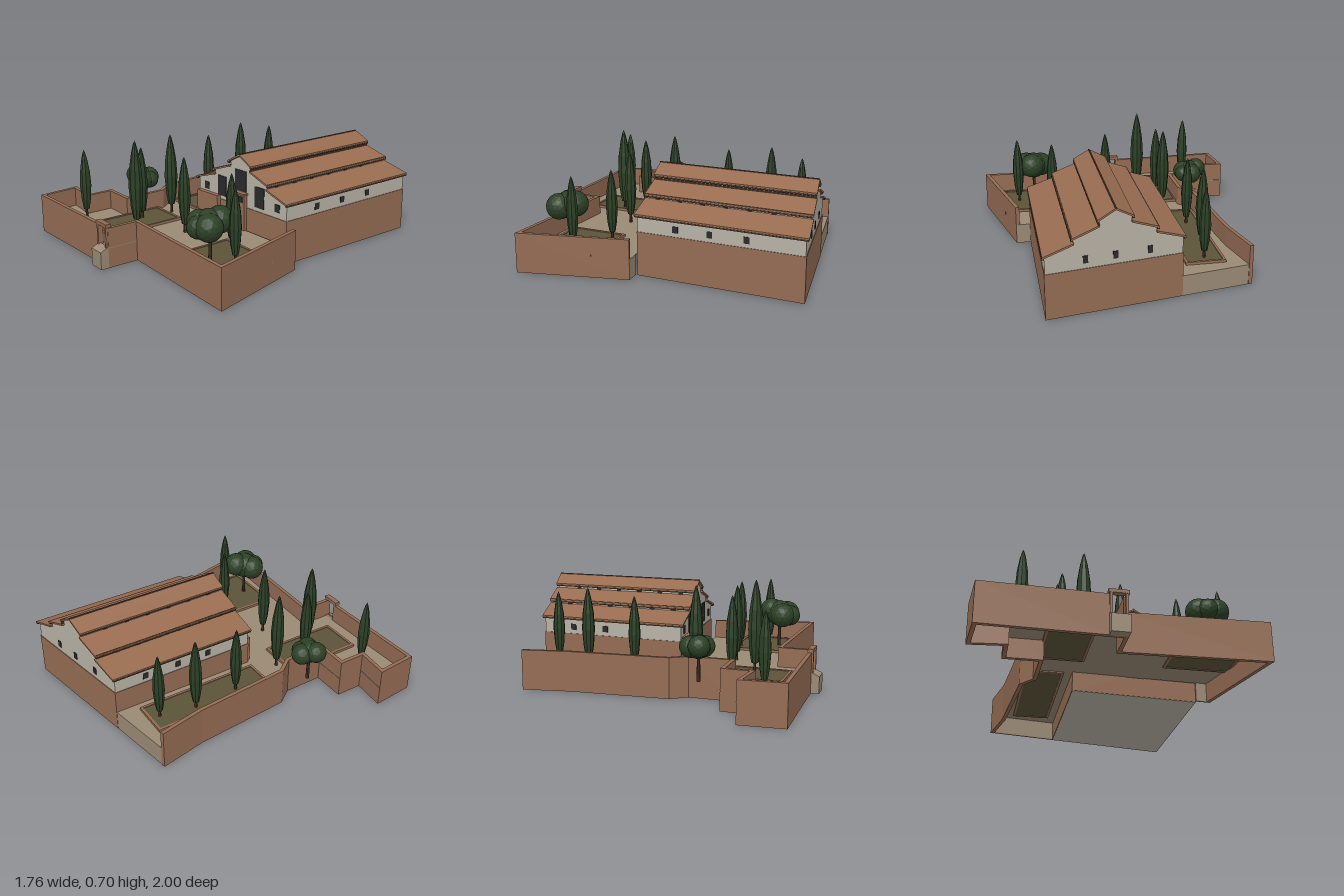
import * as THREE from 'three';
import { mergeGeometries } from 'three/addons/utils/BufferGeometryUtils.js';

const mat = (name, color, side = THREE.FrontSide, flatShading = true) => {
  const m = new THREE.MeshStandardMaterial({ color, side, flatShading });
  m.name = name;
  return m;
};

export function createModel() {
  const M = {
    brick: mat('brick', 0x946c54),
    roof: mat('roofTile', 0x986c50),
    trim: mat('darkTrim', 0x4e3a2e),
    plaster: mat('plaster', 0xb8b3a6),
    paving: mat('paving', 0x9a8a75, THREE.DoubleSide),
    soil: mat('soil', 0x5b5439),
    leaf: mat('foliage', 0x2c4026),
    trunk: mat('trunk', 0x4a3626),
    glass: mat('darkGlass', 0x2a292b),
  };
  const root = new THREE.Group();
  root.name = 'courtyardHouse';
  const add = (name, geo, m, parent = root) => {
    const mesh = new THREE.Mesh(geo, m);
    mesh.name = name;
    parent.add(mesh);
    return mesh;
  };
  const box = (name, w, h, d, x, y, z, m, ry = 0) => {
    const b = add(name, new THREE.BoxGeometry(w, h, d), m);
    b.position.set(x, y, z);
    b.rotation.y = ry;
    return b;
  };

  // Raise a plan outline (x, z) from y0 to y1
  const raise = (pts, y0, y1) => {
    const shape = new THREE.Shape(pts.map(([x, z]) => new THREE.Vector2(x, -z)));
    return new THREE.ExtrudeGeometry(shape, { depth: y1 - y0, bevelEnabled: false })
      .rotateX(-Math.PI / 2).translate(0, y0, 0);
  };
  // Mitred wall of thickness t on the inner side of a plan path
  const wall = (path, t, y0, y1) => {
    const normal = (a, b) => {
      const l = Math.hypot(b[0] - a[0], b[1] - a[1]);
      return [(b[1] - a[1]) / l, (a[0] - b[0]) / l];
    };
    const inner = path.map((p, i) => {
      const n0 = normal(path[Math.max(i - 1, 0)], path[Math.max(i, 1)]);
      const last = path.length - 1;
      const n1 = normal(path[Math.min(i, last - 1)], path[Math.min(i + 1, last)]);
      const k = t / (1 + n0[0] * n1[0] + n0[1] * n1[1]);
      return [p[0] + (n0[0] + n1[0]) * k, p[1] + (n0[1] + n1[1]) * k];
    });
    return raise([...path, ...inner.reverse()], y0, y1);
  };

  const FLOOR = 0.13, TOP = 0.255;

  // Boundary walls, broken by the gate
  const west = [[-0.655, -0.765], [-0.595, -0.47], [-0.54, 0.17], [-0.465, 0.27], [-0.46, 0.53],
    [-0.675, 0.53], [-0.675, 0.705], [-0.885, 0.685], [-0.86, 0.965], [-0.11, 0.948]];
  const east = [[-0.03, 0.946], [-0.015, 0.945], [-0.015, 0.745], [0.88, 0.775], [0.705, 0.08]];
  add('westWall', wall(west, 0.025, 0, TOP), M.brick);
  add('eastWall', wall(east, 0.025, 0, TOP), M.brick);
  box('gateSill', 0.08, FLOOR, 0.025, -0.07, FLOOR / 2, 0.935, M.brick);

  // Courtyard paving, with its exposed edges beside the house
  const inset = (p) => [p[0] * 0.995, p[1] * 0.995];
  add('courtyardFloor', raise([...west.map(inset), ...east.map(inset),
    [0.61, 0.09], [-0.2, 0.13], [-0.2, -0.84]], FLOOR - 0.004, FLOOR), M.paving);
  add('backEdge', wall([[-0.2, -0.842], [-0.653, -0.763]], 0.01, 0, FLOOR), M.paving);
  add('sideEdge', wall([[0.704, 0.08], [0.61, 0.088]], 0.01, 0, FLOOR), M.paving);

  // Gate posts, lintel and sloping step
  for (const x of [-0.115, -0.025]) box('gatePost', 0.016, 0.265 - FLOOR, 0.034, x, (0.265 + FLOOR) / 2, 0.942, M.brick);
  box('gateLintel', 0.12, 0.022, 0.036, -0.07, 0.27, 0.942, M.brick);
  const step = new THREE.Shape([[0.945, 0], [1, 0], [1, 0.11], [0.945, 0.137]].map((p) => new THREE.Vector2(...p)));
  add('entryRamp', new THREE.ExtrudeGeometry(step, { depth: 0.11, bevelEnabled: false })
    .rotateY(-Math.PI / 2).translate(-0.015, 0, 0), M.paving);

  // Planting beds
  for (const [x0, x1, z0, z1] of [[-0.505, -0.255, -0.71, 0.12], [-0.445, -0.16, 0.31, 0.84], [0.335, 0.765, 0.31, 0.69]]) {
    const cx = (x0 + x1) / 2, cz = (z0 + z1) / 2, w = x1 - x0, d = z1 - z0, r = 0.016;
    box('bedSoil', w - r, 0.022, d - r, cx, FLOOR + 0.001, cz, M.soil);
    for (const s of [-1, 1]) {
      box('bedKerb', r, 0.03, d, cx + s * (w - r) / 2, FLOOR + 0.002, cz, M.brick);
      box('bedKerb', w - 2 * r, 0.03, r, cx, FLOOR + 0.002, cz + s * (d - r) / 2, M.brick);
    }
  }

  // House: section extruded between slanted front and back lines
  const CX = 0.205;
  const front = (x) => 0.125 - 0.055 * (x + 0.2) / 0.82;
  const back = (x) => -0.84 - 0.143 * (x + 0.2) / 0.82;
  const prism = (pts, over = 0) => {
    const shape = new THREE.Shape(pts.map((p) => new THREE.Vector2(...p)));
    const g = new THREE.ExtrudeGeometry(shape, { depth: 1, bevelEnabled: false });
    const p = g.attributes.position;
    for (let i = 0; i < p.count; i++) {
      const x = p.getX(i);
      p.setZ(i, p.getZ(i) > 0.5 ? front(x) + over : back(x) - over);
    }
    g.computeVertexNormals();
    return g;
  };
  const half = [[0.405, 0], [0.405, 0.385], [0.243, 0.437], [0.243, 0.467], [0.095, 0.522], [0.095, 0.557], [0, 0.608]];
  const section = [...half.map(([x, y]) => [CX + x, y]),
    ...half.slice(0, -1).reverse().map(([x, y]) => [CX - x, y])];
  add('houseWalls', prism(section), M.plaster);
  add('houseBase', prism([[CX - 0.409, 0.001], [CX + 0.409, 0.001], [CX + 0.409, 0.28], [CX - 0.409, 0.28]], 0.004), M.brick);

  // Stepped roof slopes with dark eaves, mirrored
  const T = 0.012;
  for (const s of [-1, 1]) {
    for (const [ox, oy, ix, iy] of [[0.418, 0.38, 0.24, 0.437], [0.255, 0.463, 0.092, 0.522], [0.107, 0.551, 0, 0.609]]) {
      add('roofSlope', prism([[CX + s * ox, oy], [CX + s * ox, oy + T], [CX + s * ix, iy + T], [CX + s * ix, iy]], 0.018), M.roof);
      add('eaveTrim', prism([[CX + s * (ox - 0.012), oy - 0.006], [CX + s * (ox + 0.002), oy - 0.006],
        [CX + s * (ox + 0.002), oy + 0.003], [CX + s * (ox - 0.012), oy + 0.003]], 0.014), M.trim);
    }
    // Clerestory and side windows
    for (let i = 0; i < 6; i++) {
      const z = 0.015 - 0.15 * i;
      box('clerestoryWindow', 0.006, 0.018, 0.03, CX + s * 0.095, 0.541, z, M.glass);
      box('clerestoryWindow', 0.006, 0.015, 0.03, CX + s * 0.243, 0.454, z, M.glass);
    }
    for (const z of [-0.18, -0.4, -0.63]) box('sideWindow', 0.006, 0.04, 0.036, CX + s * 0.405, 0.325, z, M.glass);
  }
  add('ridgeCap', prism([[CX - 0.006, 0.612], [CX + 0.006, 0.612], [CX + 0.004, 0.623], [CX - 0.004, 0.623]], 0.018), M.trim);
  for (const x of [-0.043, 0.303, 0.453])
    add('roofJoint', prism([[x - 0.004, 0.46], [x + 0.004, 0.46], [x + 0.004, 0.478], [x - 0.004, 0.478]]
      .map(([px, y]) => [px, y + (x === 0.303 ? 0.062 : 0)]), 0.016), M.trim);

  // Front openings: x, y, width, height
  const fa = Math.atan(0.055 / 0.82), ba = Math.atan(0.143 / 0.82);
  const onFront = (name, x, y, w, h, d, m, out = 0) => box(name, w, h, d, x, y, front(x) + out, m, fa);
  for (const [x, y, w, h] of [[0.205, 0.448, 0.1, 0.135], [0.028, 0.372, 0.082, 0.135],
    [0.375, 0.372, 0.082, 0.135], [-0.12, 0.343, 0.042, 0.05], [0.53, 0.343, 0.042, 0.05]])
    onFront('frontWindow', x, y, w, h, 0.008, M.glass);
  for (const x of [0, 0.205, 0.38]) box('backWindow', 0.03, 0.045, 0.008, x, 0.335, back(x), M.glass, ba);

  // Entrance porch and low screen wall
  onFront('porch', 0.205, 0.245, 0.115, 0.235, 0.03, M.brick, 0.012);
  onFront('porchLedge', 0.205, 0.37, 0.13, 0.012, 0.04, M.brick, 0.014);
  onFront('porchOpening', 0.205, 0.335, 0.09, 0.04, 0.006, M.glass, 0.027);
  onFront('screenWall', -0.085, 0.218, 0.2, 0.176, 0.03, M.brick, 0.018);

  // Cypresses: x, z, top height
  const profile = [[0, 0], [0.5, 0.02], [0.8, 0.18], [1, 0.42], [0.85, 0.65], [0.5, 0.85], [0.2, 0.96], [0, 1]];
  const cypresses = [[-0.385, -0.64, 0.59], [-0.43, -0.41, 0.635], [-0.41, -0.105, 0.595], [-0.33, 0.27, 0.67],
    [-0.33, 0.5, 0.62], [-0.215, 0.615, 0.705], [0.048, 0.425, 0.625], [0.43, 0.35, 0.595], [0.655, 0.5, 0.59], [-0.595, 0.77, 0.592]];
  cypresses.forEach(([x, z, top], i) => {
    const tree = new THREE.Group();
    tree.name = 'cypress';
    tree.position.set(x, FLOOR, z);
    tree.rotation.y = i * 1.3;
    root.add(tree);
    const h = top - FLOOR - 0.05;
    const pts = profile.map(([r, t]) => new THREE.Vector2(r * 0.08 * (h + 0.06), t * h));
    add('cypressFoliage', new THREE.LatheGeometry(pts, 9).translate(0, 0.05, 0), M.leaf, tree);
    add('cypressTrunk', new THREE.CylinderGeometry(0.008, 0.01, 0.07, 6).translate(0, 0.035, 0), M.trunk, tree);
  });

  // Round trees: clustered lobes (offset x, y, z, radius) on a thin trunk
  const lobes = [[0, 0, 0, 0.085], [0.045, -0.005, 0.04, 0.08], [-0.05, -0.005, 0.03, 0.078], [0.015, 0.015, -0.055, 0.078], [-0.01, -0.01, 0.07, 0.066]];
  for (const [x, y, z, k, a] of [[-0.55, 0.34, 0.36, 0.86, 2.2], [0.54, 0.368, 0.595, 1.06, 0]]) {
    const tree = new THREE.Group();
    tree.name = 'roundTree';
    tree.position.set(x, 0, z);
    tree.rotation.y = a;
    root.add(tree);
    const crown = mergeGeometries(lobes.map(([lx, ly, lz, r]) =>
      new THREE.IcosahedronGeometry(r, 2).translate(lx, ly, lz)));
    add('crown', crown.scale(k, k, k).translate(0, y, 0), M.leaf, tree);
    add('roundTreeTrunk', new THREE.CylinderGeometry(0.009, 0.012, y - FLOOR, 7).translate(0, (y + FLOOR) / 2, 0), M.trunk, tree);
  }
  return root;
}
